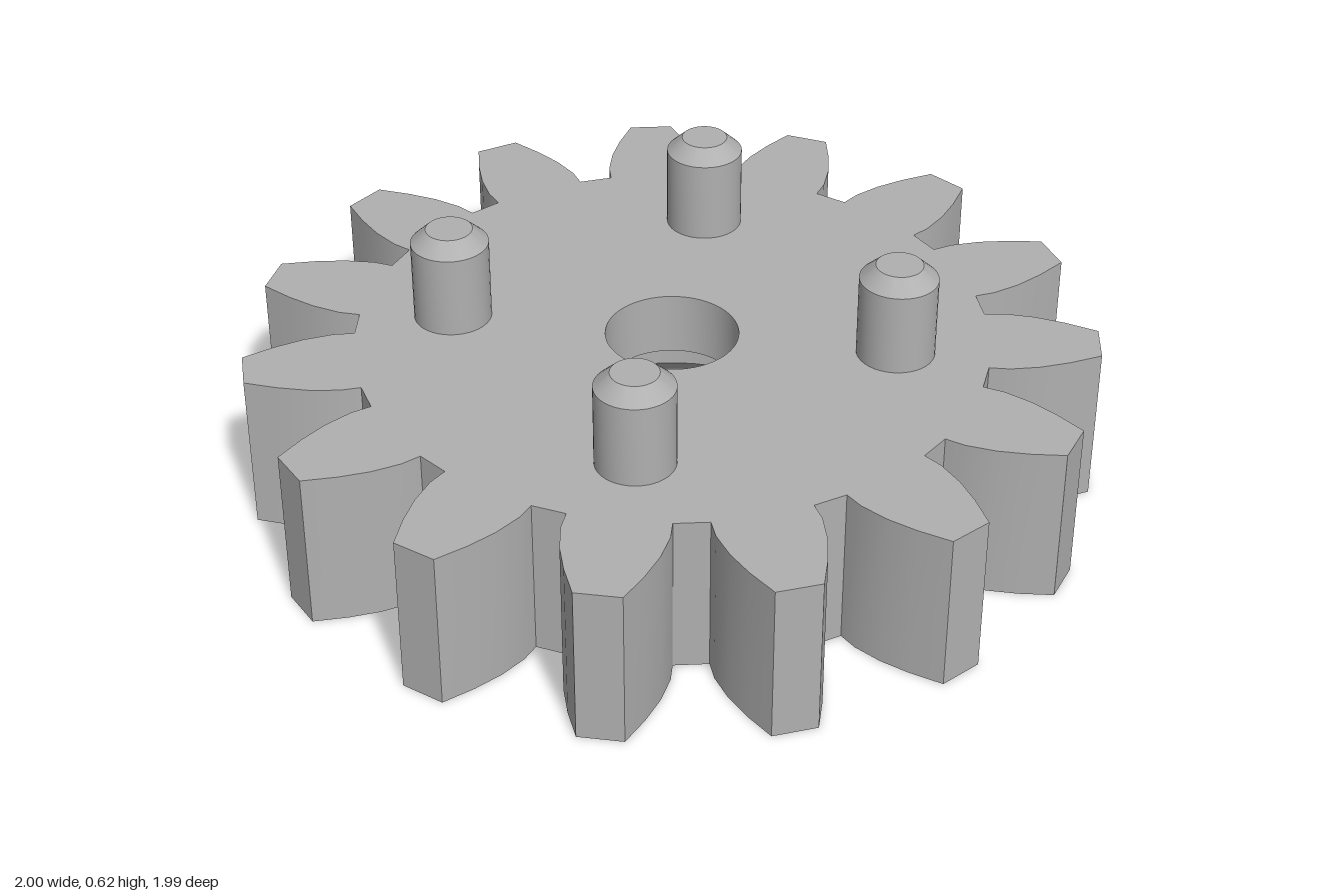
import * as THREE from 'three';
import { toCreasedNormals } from 'three/addons/utils/BufferGeometryUtils.js';

const TEETH = 15, HEIGHT = 0.39, HOLE = 0.157, RECESS = 0.43;

// One flank from root to tip: [half width, distance from the axis]
const FLANK = [[0.115, 0.736], [0.118, 0.785], [0.107, 0.855], [0.085, 0.925], [0.053, 1.0]];

// Counter-clockwise gear outline, first tooth pointing to the front
function gearOutline() {
  const points = [];
  for (let k = 0; k < TEETH; k++) {
    const a = -Math.PI / 2 + (k * 2 * Math.PI) / TEETH;
    const c = Math.cos(a), s = Math.sin(a);
    const add = (w, r) => points.push(new THREE.Vector2(r * c - w * s, r * s + w * c));
    FLANK.forEach(([w, r]) => add(-w, r));
    [...FLANK].reverse().forEach(([w, r]) => add(w, r));
  }
  return points;
}

// Gear face with a round opening
function gearFace(outline, radius) {
  const shape = new THREE.Shape(outline);
  shape.holes.push(new THREE.Path().absarc(0, 0, radius, 0, Math.PI * 2, true));
  return new THREE.ShapeGeometry(shape, 32);
}

// Upright wall following the outline
function gearWall(outline) {
  const pos = [], index = [], n = outline.length;
  outline.forEach((p, i) => {
    pos.push(p.x, 0, -p.y, p.x, HEIGHT, -p.y);
    const a = i * 2, b = ((i + 1) % n) * 2;
    index.push(a, b, b + 1, a, b + 1, a + 1);
  });
  const g = new THREE.BufferGeometry();
  g.setAttribute('position', new THREE.Float32BufferAttribute(pos, 3));
  g.setIndex(index);
  return toCreasedNormals(g, 0.5);
}

function turned(profile, segments) {
  const points = profile.map(([r, y]) => new THREE.Vector2(r, y));
  return toCreasedNormals(new THREE.LatheGeometry(points, segments), 0.5);
}

export function createModel() {
  const grey = new THREE.MeshStandardMaterial({ color: 0xb0b0b0 });
  grey.name = 'grey';
  const model = new THREE.Group();
  model.name = 'gear';
  const add = (name, geometry) => {
    const mesh = new THREE.Mesh(geometry, grey);
    mesh.name = name;
    mesh.position.z = -0.006;
    model.add(mesh);
    return mesh;
  };

  // Toothed body
  const outline = gearOutline();
  add('toothWall', gearWall(outline));
  add('topFace', gearFace(outline, HOLE).rotateX(-Math.PI / 2).translate(0, HEIGHT, 0));
  add('bottomFace', gearFace(outline, RECESS).rotateX(Math.PI / 2).rotateY(Math.PI));

  // Axle hole opening into a chamfered recess underneath
  add('stepBore', turned([[HOLE, HEIGHT], [HOLE, 0.235], [0.393, 0.235], [0.393, 0.042], [RECESS, 0]], 64));

  // Four chamfered pins around the hole
  const pin = turned([[0.092, HEIGHT], [0.092, 0.59], [0.055, 0.625], [0, 0.625]], 40);
  for (let i = 0; i < 4; i++) {
    const a = (i * Math.PI) / 2;
    const mesh = add('pin' + (i + 1), pin);
    mesh.position.x += 0.525 * Math.cos(a);
    mesh.position.z += 0.525 * Math.sin(a);
  }
  return model;
}
